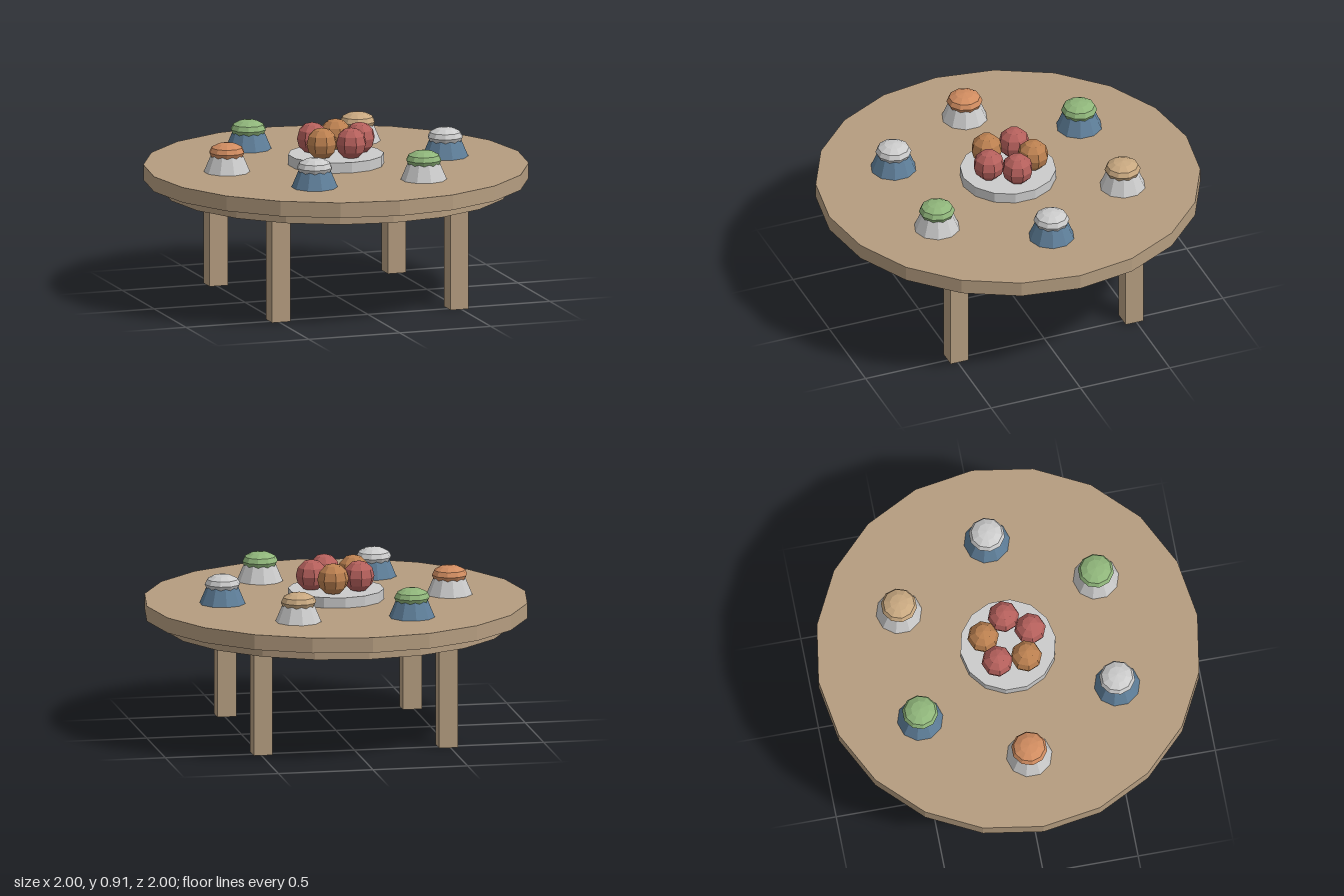
import * as THREE from 'three';

const mat = (color) => new THREE.MeshStandardMaterial({ color, flatShading: true });
const wood = mat(0xb59d80);
const grey = mat(0xcccccc);
const blue = mat(0x5f7f9a);
const green = mat(0x8fb57a);
const orange = mat(0xd08c60);
const tan = mat(0xc8a880);
const red = mat(0xb5605c);
const amber = mat(0xbb8050);

function add(parent, name, geometry, material, x, y, z) {
  const mesh = new THREE.Mesh(geometry, material);
  mesh.name = name;
  mesh.position.set(x, y, z);
  parent.add(mesh);
  return mesh;
}

// Upright cylinder or cone section between two heights
function drum(parent, name, rTop, rBottom, y0, y1, sides, material) {
  const geometry = new THREE.CylinderGeometry(rTop, rBottom, y1 - y0, sides);
  return add(parent, name, geometry, material, 0, (y0 + y1) / 2, 0);
}

export function createModel() {
  const model = new THREE.Group();
  model.name = 'laidTable';

  // Round top with a smaller disc under it
  drum(model, 'tableTop', 1, 1, 0.62, 0.7, 20, wood);
  drum(model, 'apron', 0.905, 0.905, 0.565, 0.62, 20, wood);

  // Four square legs
  const legGeometry = new THREE.BoxGeometry(0.1, 0.58, 0.1);
  for (const x of [-0.49, 0.49]) {
    for (const z of [-0.49, 0.49]) add(model, 'leg', legGeometry, wood, x, 0.29, z);
  }

  // Central plate with a ring of fruit
  drum(model, 'plate', 0.25, 0.25, 0.7, 0.755, 14, grey);
  const fruitGeometry = new THREE.SphereGeometry(0.083, 8, 6);
  [red, red, amber, red, amber].forEach((material, i) => {
    const a = (i / 5) * Math.PI * 2;
    add(model, 'fruit', fruitGeometry, material, 0.13 * Math.cos(a), 0.83, 0.13 * Math.sin(a));
  });

  // Six place settings: a tapered bowl with a rounded heap of food on it
  const foodGeometry = new THREE.SphereGeometry(0.094, 10, 6).scale(1, 0.53, 1);
  const settings = [
    [blue, grey], [grey, green], [blue, grey],
    [grey, orange], [blue, green], [grey, tan],
  ];
  settings.forEach(([bowlMaterial, foodMaterial], i) => {
    const a = (i / settings.length) * Math.PI * 2;
    const setting = new THREE.Group();
    setting.name = 'placeSetting';
    setting.position.set(0.6 * Math.cos(a), 0, 0.6 * Math.sin(a));
    drum(setting, 'bowl', 0.078, 0.12, 0.7, 0.8, 10, bowlMaterial);
    add(setting, 'food', foodGeometry, foodMaterial, 0, 0.803, 0);
    model.add(setting);
  });

  return model;
}
